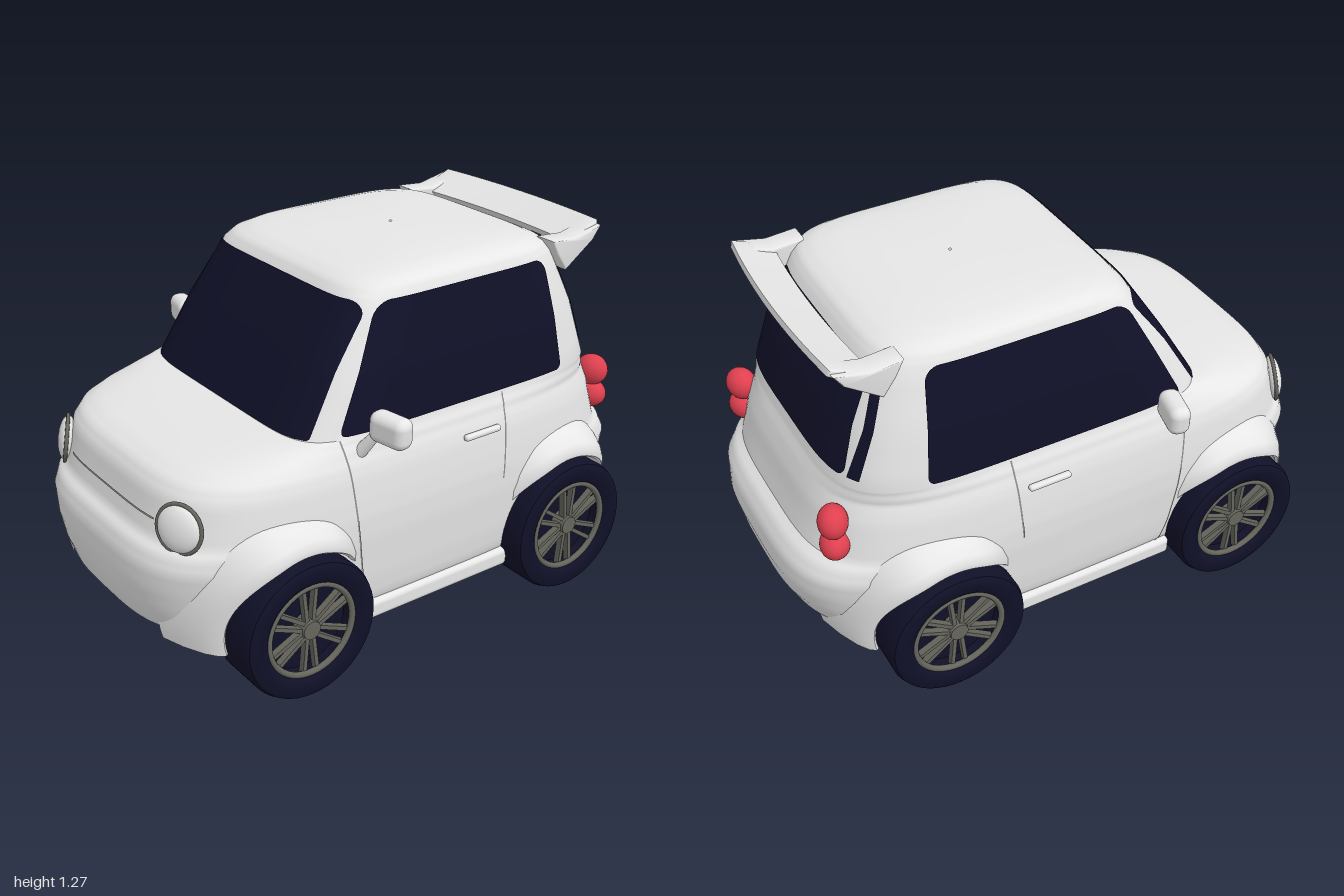
import * as THREE from 'three';
import { toCreasedNormals } from 'three/addons/utils/BufferGeometryUtils.js';
import { RoundedBoxGeometry } from 'three/addons/geometries/RoundedBoxGeometry.js';

const mat = (name, color) => {
  const m = new THREE.MeshStandardMaterial({ color, side: THREE.DoubleSide });
  m.name = name;
  return m;
};
const paint = mat('white paint', 0xe6e6e6);
const navy = mat('navy glass and rubber', 0x101028);
const rimGrey = mat('rim grey', 0x66665e);
const under = mat('underbody grey', 0x3c3c39);
const seamGrey = mat('seam grey', 0x8c8c8a);
const red = mat('lamp red', 0xe0404f);

// Plan outlines of the shell by height: y, half width, front z, rear z, front and rear squareness
const SLICES = [
  [0.165, 0.53, 0.86, -0.86, 3.3, 3.3], [0.18, 0.55, 0.92, -0.9, 3.3, 3.3],
  [0.22, 0.565, 0.965, -0.95, 3.4, 3.4], [0.3, 0.575, 0.99, -0.985, 3.5, 3.5],
  [0.38, 0.58, 1.0, -1.0, 3.7, 3.7], [0.46, 0.585, 0.995, -0.99, 4, 4],
  [0.51, 0.585, 0.975, -0.96, 4, 4], [0.535, 0.585, 0.945, -0.925, 4, 4],
  [0.6, 0.58, 0.925, -0.905, 4, 4], [0.68, 0.57, 0.905, -0.885, 4, 4],
  [0.72, 0.56, 0.875, -0.87, 4, 4], [0.745, 0.55, 0.82, -0.86, 4, 4],
  [0.765, 0.545, 0.73, -0.85, 4.2, 4.2], [0.785, 0.535, 0.62, -0.84, 5, 4.4],
  [0.8, 0.53, 0.5, -0.835, 7, 4.5], [1.0, 0.5, 0.38, -0.77, 7, 4.5],
  [1.2, 0.45, 0.25, -0.67, 7, 5], [1.23, 0.435, 0.225, -0.645, 6, 5],
  [1.25, 0.405, 0.18, -0.6, 5, 5], [1.262, 0.36, 0.1, -0.54, 4.5, 4.5],
  [1.27, 0.27, 0, -0.44, 4, 4], [1.275, 0.13, -0.12, -0.32, 3, 3],
  [1.276, 0.005, -0.215, -0.225, 3, 3],
];

function slice(y) {
  let i = 0;
  while (i < SLICES.length - 2 && y > SLICES[i + 1][0]) i++;
  const a = SLICES[i], b = SLICES[i + 1], t = (y - a[0]) / (b[0] - a[0]);
  const [w, f, r, nF, nR] = [1, 2, 3, 4, 5].map(k => a[k] + (b[k] - a[k]) * t);
  return { w, c: (f + r) / 2, l: (f - r) / 2, nF, nR };
}
const arc = (q, n) => Math.pow(1 - Math.pow(Math.min(Math.abs(q), 0.999), n), 1 / n);
// Shell surface seen from the side (x) and from the front or rear (z)
const sideX = (y, z) => {
  const s = slice(y);
  return s.w * arc((z - s.c) / s.l, z > s.c ? s.nF : s.nR);
};
const endZ = (y, x, dir) => {
  const s = slice(y);
  return s.c + dir * s.l * arc(x / s.w, dir > 0 ? s.nF : s.nR);
};

const SEG = 128;
function ring(y) {
  const s = slice(y), pts = [];
  for (let j = 0; j < SEG; j++) {
    const a = (j / SEG) * Math.PI * 2, co = Math.cos(a), si = Math.sin(a);
    const e = 2 / (si > 0 ? s.nF : s.nR);
    pts.push([Math.sign(co) * s.w * Math.abs(co) ** e, y, s.c + Math.sign(si) * s.l * Math.abs(si) ** e]);
  }
  return pts;
}

// Surface through rows of points
function skin(rows, closed, flip) {
  const n = rows[0].length, idx = [];
  for (let i = 0; i < rows.length - 1; i++) {
    for (let j = 0; j < (closed ? n : n - 1); j++) {
      const k = (j + 1) % n, a = i * n + j, b = i * n + k, c = a + n, d = b + n;
      idx.push(...(flip ? [a, b, c, b, d, c] : [a, c, b, b, c, d]));
    }
  }
  const g = new THREE.BufferGeometry();
  g.setAttribute('position', new THREE.Float32BufferAttribute(rows.flat(2), 3));
  g.setIndex(idx);
  g.computeVertexNormals();
  return g;
}

// Thin panel lying on the shell: face is 'side', 'front' or 'rear'; lim gives its two edges by height
function panel(face, y0, y1, lim, rBottom = 0, rTop = 0, off = 0.006) {
  const N = 26, M = 26, rows = [];
  const inset = (d, r) => (d < r ? r - Math.sqrt(r * r - (r - d) ** 2) : 0);
  for (let i = 0; i <= N; i++) {
    const v = (1 - Math.cos((Math.PI * i) / N)) / 2, y = y0 + (y1 - y0) * v;
    const cut = inset(y - y0, rBottom) + inset(y1 - y, rTop);
    const [a, b] = lim(v), row = [];
    for (let j = 0; j <= M; j++) {
      const p = a + cut + ((b - a - 2 * cut) * j) / M;
      if (face === 'side') row.push([sideX(y, p) + off, y, p]);
      else {
        const dir = face === 'front' ? 1 : -1;
        row.push([p, y, endZ(y, p, dir) + dir * off]);
      }
    }
    rows.push(row);
  }
  return skin(rows, false, face === 'front');
}

function add(parent, name, geo, material, pos = [0, 0, 0], rot = [0, 0, 0], scale = [1, 1, 1]) {
  const m = new THREE.Mesh(geo, material);
  m.name = name;
  m.position.set(...pos);
  m.rotation.set(...rot);
  m.scale.set(...scale);
  parent.add(m);
  return m;
}
const mix = (a, b, t) => a + (b - a) * t;
const lathe = (pts, seg, start, len) =>
  new THREE.LatheGeometry(pts.map(p => new THREE.Vector2(...p)), seg, start, len).rotateZ(-Math.PI / 2);

// Side profile of [z, y] points extruded across the car
function across(pts, width, steps = 1) {
  const g = new THREE.ExtrudeGeometry(new THREE.Shape(pts.map(p => new THREE.Vector2(...p))), {
    depth: width, steps, bevelSize: 0.008, bevelThickness: 0.008, bevelSegments: 3,
  }).translate(0, 0, -width / 2).rotateY(-Math.PI / 2);
  return g;
}

function makeWheel() {
  const w = new THREE.Group();
  w.name = 'wheel';
  const tyre = lathe([[0, 0.46], [0.16, 0.46], [0.17, 0.445], [0.215, 0.44], [0.236, 0.448], [0.246, 0.47],
    [0.246, 0.632], [0.238, 0.652], [0.222, 0.66], [0.18, 0.656], [0.166, 0.645], [0.16, 0.595], [0, 0.595]], 48);
  add(w, 'tyre', toCreasedNormals(tyre, 0.7), navy);
  add(w, 'rimRing', new THREE.TorusGeometry(0.16, 0.011, 8, 48), rimGrey, [0.64, 0, 0], [0, Math.PI / 2, 0]);
  add(w, 'hub', new THREE.CylinderGeometry(0.032, 0.04, 0.05, 20), rimGrey, [0.622, 0, 0], [0, 0, -Math.PI / 2]);
  for (let i = 0; i < 6; i++) {
    for (const d of [-1, 1]) {
      const spoke = new THREE.BoxGeometry(0.024, 0.135, 0.014).rotateX(d * 0.1).translate(0, 0.092, d * 0.018);
      add(w, 'spoke', spoke, rimGrey, [0.626, 0, 0], [(i * Math.PI) / 3, 0, 0]);
    }
  }
  return w;
}

// Flared arch that fades into the shell fore and aft
function makeFender() {
  const g = lathe([[0.36, 0.53], [0.335, 0.585], [0.305, 0.622], [0.28, 0.636], [0.26, 0.634], [0.252, 0.62], [0.252, 0.5]],
    48, Math.PI - 0.2, Math.PI + 0.4);
  const p = g.attributes.position;
  for (let i = 0; i < p.count; i++) {
    const d = Math.max(0, Math.abs(p.getZ(i)) - 0.08);
    p.setX(i, p.getX(i) - 2.9 * d * d);
  }
  return toCreasedNormals(g, 0.7);
}

function makeSide(sign) {
  const g = new THREE.Group();
  g.name = sign > 0 ? 'leftSide' : 'rightSide';
  for (const z of [0.575, -0.545]) {
    const wheel = makeWheel();
    wheel.position.set(0, 0.247, z);
    g.add(wheel);
    add(g, 'fender', makeFender(), paint, [0, 0.25, z]);
  }
  add(g, 'sill', new RoundedBoxGeometry(0.1, 0.07, 0.66, 3, 0.02), paint, [0.527, 0.167, 0.01]);

  // Glass
  add(g, 'sideWindow', panel('side', 0.81, 1.2, v => [mix(-0.575, -0.535, v), mix(0.375, 0.175, v)], 0.025, 0.05), navy);
  add(g, 'rearQuarterStrip', panel('side', 0.83, 1.17, v => [mix(-0.79, -0.66, v), mix(-0.765, -0.642, v)]), navy);

  // Door seams and handle
  add(g, 'frontDoorSeam', panel('side', 0.2, 0.8, v => [0.28 + 0.09 * Math.sqrt(v), 0.286 + 0.09 * Math.sqrt(v)], 0, 0, 0.003), seamGrey);
  add(g, 'rearDoorSeam', panel('side', 0.5, 0.8, v => [mix(-0.272, -0.293, v), mix(-0.266, -0.287, v)], 0, 0, 0.003), seamGrey);
  add(g, 'doorHandle', new RoundedBoxGeometry(0.024, 0.022, 0.155, 3, 0.01), paint, [0.578, 0.698, -0.17]);

  // Mirror
  add(g, 'mirror', new RoundedBoxGeometry(0.145, 0.105, 0.075, 4, 0.032), paint, [0.632, 0.855, 0.262], [0, 0.22, -0.04]);
  add(g, 'mirrorStalk', new THREE.CylinderGeometry(0.016, 0.024, 0.12, 12), paint, [0.555, 0.785, 0.295], [-0.3, 0, -0.6]);

  // Lamps
  const lamp = new THREE.Group();
  lamp.name = 'headlight';
  lamp.position.set(0.385, 0.6, 0.882);
  lamp.rotation.set(-0.15, 0.48, 0, 'YXZ');
  add(lamp, 'lens', new THREE.SphereGeometry(0.079, 28, 18), paint, [0, 0, 0.004], [0, 0, 0], [1, 1, 0.4]);
  add(lamp, 'headlightRing', new THREE.TorusGeometry(0.081, 0.007, 8, 36), rimGrey, [0, 0, 0.006]);
  g.add(lamp);
  for (const [y, h] of [[0.692, 0.058], [0.598, 0.052]]) {
    add(g, 'tailLight', new THREE.SphereGeometry(1, 24, 16), red, [0.405, y, -0.857], [0, 0.35, 0], [0.06, h, 0.05]);
  }

  // Spoiler leg
  add(g, 'spoilerLeg', toCreasedNormals(across([[-0.6, 1.235], [-0.7, 1.225], [-0.81, 1.252], [-0.78, 1.215],
    [-0.665, 1.135], [-0.625, 1.19]], 0.07), 0.6), paint, [0.385, 0, 0]);

  g.scale.x = sign;
  return g;
}

export function createModel() {
  const car = new THREE.Group();
  car.name = 'smallCar';

  // Body shell
  const heights = [];
  SLICES.forEach(([y], i) => {
    if (i) for (let k = 1; k <= 3; k++) heights.push(mix(SLICES[i - 1][0], y, k / 3));
    else heights.push(y);
  });
  add(car, 'bodyShell', toCreasedNormals(skin(heights.map(ring), true), 0.6), paint);

  // Underside
  const outline = new THREE.Shape(ring(0.165).map(([x, , z]) => new THREE.Vector2(x, z)));
  add(car, 'underside', new THREE.ShapeGeometry(outline).rotateX(Math.PI / 2), under, [0, 0.165, 0]);
  add(car, 'floorPan', new THREE.BoxGeometry(0.86, 0.04, 1.6), under, [0, 0.15, 0]);

  // Front and rear glass, bonnet seam
  const wide = (a, b) => v => [-mix(a, b, v), mix(a, b, v)];
  add(car, 'windshield', panel('front', 0.804, 1.2, wide(0.465, 0.425), 0.01, 0.05), navy);
  add(car, 'rearWindow', panel('rear', 0.83, 1.18, wide(0.375, 0.335), 0.03, 0.03), navy);
  add(car, 'bonnetSeam', panel('front', 0.594, 0.6, wide(0.28, 0.28), 0, 0, 0.003), seamGrey);

  // Spoiler blade, bowed in plan
  const blade = across([[-0.72, 1.215], [-0.84, 1.262], [-0.842, 1.252], [-0.8, 1.225], [-0.735, 1.198]], 0.8, 16);
  const p = blade.attributes.position;
  for (let i = 0; i < p.count; i++) p.setZ(i, p.getZ(i) + 0.15 * p.getX(i) ** 2);
  add(car, 'spoilerBlade', toCreasedNormals(blade, 0.6), paint);

  car.add(makeSide(1), makeSide(-1));
  return car;
}
